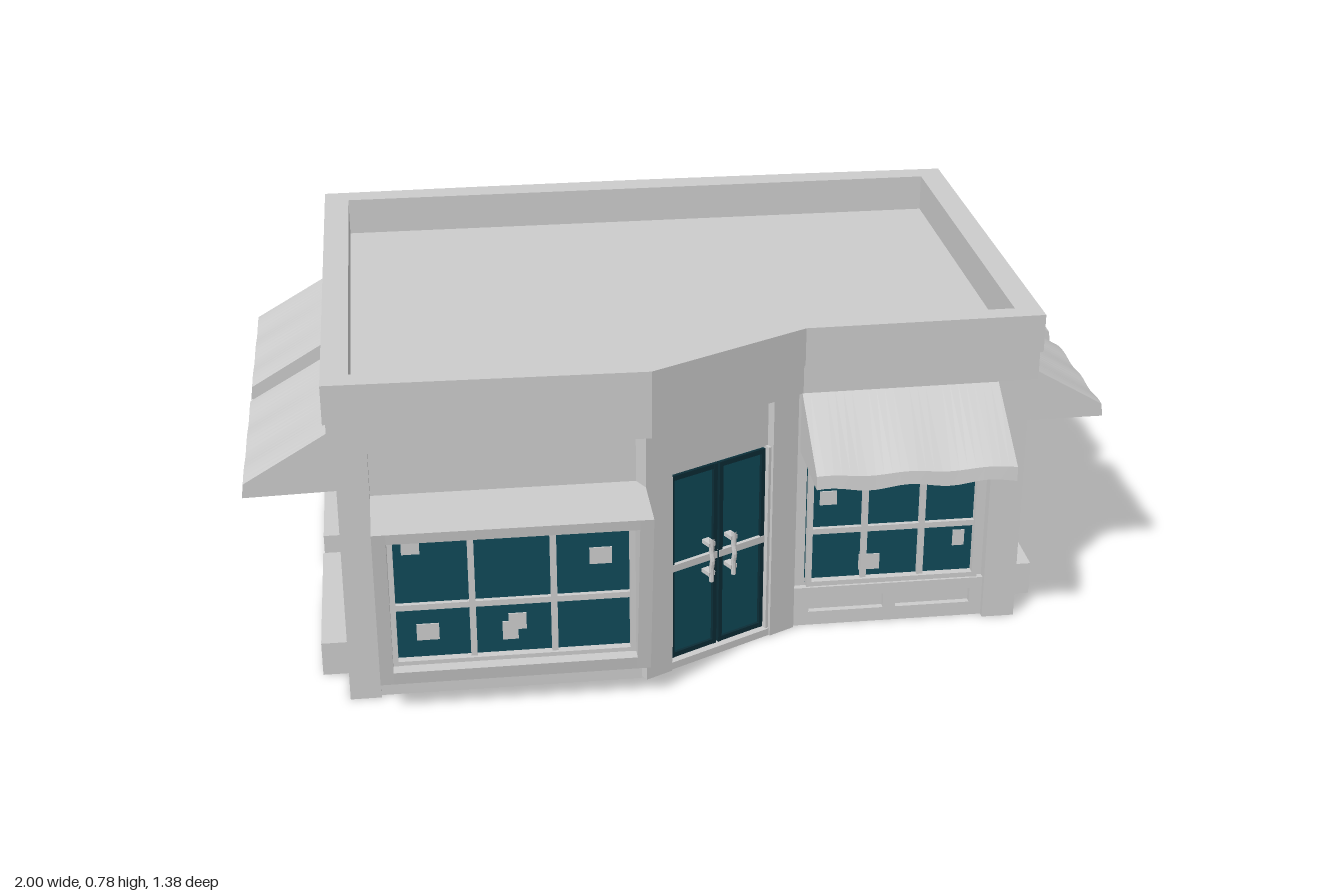
import * as THREE from 'three';

const grey = new THREE.MeshStandardMaterial({ color: 0xcccccc, flatShading: true });
const open = new THREE.MeshStandardMaterial({ color: 0xcccccc, flatShading: true, side: THREE.DoubleSide });
const teal = new THREE.MeshStandardMaterial({ color: 0x0f4958, flatShading: true });
const darkTeal = new THREE.MeshStandardMaterial({ color: 0x0b2c36, flatShading: true });

function add(parent, name, geo, mat = grey) {
  const m = new THREE.Mesh(geo, mat);
  m.name = name;
  parent.add(m);
  return m;
}

// Box given by its extents along each axis
function box(parent, name, x0, x1, y0, y1, z0, z1, mat) {
  const g = new THREE.BoxGeometry(x1 - x0, y1 - y0, z1 - z0);
  g.translate((x0 + x1) / 2, (y0 + y1) / 2, (z0 + z1) / 2);
  return add(parent, name, g, mat);
}

// Upright prism over a clockwise [x, z] outline, with an optional hole
function slab(parent, name, pts, y0, y1, hole) {
  const v = (p) => p.map(([x, z]) => new THREE.Vector2(x, -z));
  const s = new THREE.Shape(v(pts));
  if (hole) s.holes.push(new THREE.Path(v(hole).reverse()));
  const g = new THREE.ExtrudeGeometry(s, { depth: y1 - y0, bevelEnabled: false });
  g.rotateX(-Math.PI / 2).translate(0, y0, 0);
  return add(parent, name, g);
}

// Prism along x over a [z, y] profile
function sideProfile(parent, name, pts, x0, x1) {
  const s = new THREE.Shape(pts.map(([z, y]) => new THREE.Vector2(-z, y)));
  const g = new THREE.ExtrudeGeometry(s, { depth: x1 - x0, bevelEnabled: false });
  g.rotateY(Math.PI / 2).translate(x0, 0, 0);
  return add(parent, name, g);
}

// Group facing +z that is turned and placed
function place(parent, name, x, y, z, ry = 0) {
  const g = new THREE.Group();
  g.name = name;
  g.position.set(x, y, z);
  g.rotation.y = ry;
  parent.add(g);
  return g;
}

// Glass pane with a rim, bars and small notices [x, y, w, h]
function makeWindow(g, w, h, cols, rows, notices, rim) {
  const a = w / 2, b = h / 2, t = 0.012;
  box(g, 'glass', -a, a, -b, b, -0.01, 0, teal);
  for (const s of [-1, 1]) {
    box(g, 'rimSide', s * (a - t / 2) - t / 2, s * (a - t / 2) + t / 2, -b, b, -0.01, 0.02, rim);
    box(g, 'rimEdge', -a, a, s * (b - t / 2) - t / 2, s * (b - t / 2) + t / 2, -0.01, 0.019, rim);
  }
  for (let i = 1; i < cols; i++) box(g, 'bar', -a + i * w / cols - 0.007, -a + i * w / cols + 0.007, -b, b, 0, 0.012);
  for (let i = 1; i < rows; i++) box(g, 'crossBar', -a, a, -b + 0.4 * h - 0.007, -b + 0.4 * h + 0.007, 0, 0.011);
  for (const [x, y, nw, nh] of notices)
    box(g, 'notice', x - nw / 2, x + nw / 2, y - nh / 2, y + nh / 2, 0, 0.003);
}

// Cloth awning: sloped top, waving valance, flat soffit and closed ends
function makeAwning(g, w, depth) {
  const n = 24, pos = [], idx = [];
  for (let i = 0; i <= n; i++) {
    const u = i / n, x = (u - 0.5) * w;
    const wave = 0.005 * Math.sin(u * Math.PI * 5 + 0.6);
    pos.push(x, 0.62, 0, x, 0.497 + wave * 0.6, depth - 0.004, x, 0.465 + wave, depth, x, 0.467, 0);
    if (i < n) for (let k = 0; k < 3; k++) {
      const p = i * 4 + k;
      idx.push(p, p + 1, p + 4, p + 4, p + 1, p + 5);
    }
  }
  const e = n * 4;
  idx.push(0, 3, 1, 3, 2, 1, e, e + 1, e + 3, e + 3, e + 1, e + 2);
  const geo = new THREE.BufferGeometry();
  geo.setAttribute('position', new THREE.Float32BufferAttribute(pos, 3));
  geo.setIndex(idx);
  geo.computeVertexNormals();
  add(g, 'awningCloth', geo, open);
}

export function createModel() {
  const root = new THREE.Group();
  root.name = 'cornerShop';

  // Walls
  slab(root, 'walls', [[-0.755, -0.645], [0.755, -0.645], [0.755, 0.32], [0.23, 0.32], [-0.13, 0.5], [-0.755, 0.5]], 0, 0.62);

  // Corner and middle pillars
  const pillars = [
    [-0.79, -0.72, 0.42, 0.535], [0.71, 0.787, 0.25, 0.35],
    [-0.79, -0.72, -0.66, -0.55], [0.71, 0.79, -0.66, -0.57],
    [0.74, 0.787, -0.195, -0.115], [-0.787, -0.74, -0.11, -0.02],
  ];
  for (const [x0, x1, z0, z1] of pillars) box(root, 'pillar', x0, x1, 0, 0.625, z0, z1);

  // Cornice with the flat roof on top, and parapet ring
  const back = [[-0.81, -0.68], [-0.4, -0.687], [0, -0.69], [0.4, -0.687], [0.81, -0.68]];
  const outline = [...back, [0.81, 0.363], [0.26, 0.372], [-0.11, 0.567], [-0.81, 0.555]];
  slab(root, 'cornice', outline.map(([x, z]) => [x * 0.992, z * 0.988]), 0.62, 0.69);
  slab(root, 'parapet', outline, 0.69, 0.78,
    [[-0.75, -0.622], [0.75, -0.622], [0.75, 0.315], [0.24, 0.317], [-0.115, 0.5], [-0.75, 0.5]]);

  // Side windows with awnings and ledges: side, bay start and end, glass width
  const notices = [
    [[-0.07, 0.06, 0.055, 0.06], [0.08, -0.11, 0.055, 0.04]],
    [[0.025, 0, 0.04, 0.065], [-0.085, -0.1, 0.04, 0.06]],
  ];
  const bays = [
    [1, -0.115, 0.25, 0.3], [1, -0.57, -0.195, 0.31],
    [-1, -0.02, 0.42, 0.34], [-1, -0.55, -0.11, 0.34],
  ];
  bays.forEach(([s, z0, z1, w], i) => {
    const zc = (z0 + z1) / 2, ry = s * Math.PI / 2;
    makeWindow(place(root, 'sideWindow', s * 0.76, 0.2875, zc, ry), w, 0.345, 1, 1, notices[i % 2], darkTeal);
    makeAwning(place(root, 'sideAwning', s * 0.787, 0, zc, ry), z1 - z0, 0.213);
    box(place(root, 'windowLedge', s * 0.75, 0, zc, ry), 'ledge', -(z1 - z0) / 2, (z1 - z0) / 2, 0, 0.082, 0, 0.102);
  });

  // Sloping display window on the front
  for (const x of [-0.72, -0.15])
    sideProfile(root, 'displaySide', [[0.5, 0.08], [0.615, 0.08], [0.69, 0.49], [0.5, 0.49]], x, x + 0.03);
  sideProfile(root, 'displayTop', [[0.5, 0.465], [0.686, 0.465], [0.69, 0.49], [0.5, 0.49]], -0.69, -0.15);
  sideProfile(root, 'displaySill', [[0.5, 0.08], [0.615, 0.08], [0.621, 0.112], [0.5, 0.112]], -0.69, -0.15);
  box(root, 'displayBack', -0.69, -0.15, 0.11, 0.47, 0.5, 0.56);
  makeWindow(place(root, 'displayWindow', -0.42, 0.2875, 0.572), 0.54, 0.355, 3, 2, [
    [-0.22, 0.117, 0.04, 0.05], [0.195, 0.062, 0.05, 0.04], [-0.19, -0.103, 0.05, 0.04],
    [-0.008, -0.112, 0.035, 0.045], [0.008, -0.09, 0.04, 0.04],
  ], grey);
  box(root, 'frontPlinth', -0.72, -0.13, 0, 0.08, 0.5, 0.525);

  // Front window with awning
  makeWindow(place(root, 'frontWindow', 0.485, 0.2875, 0.332), 0.41, 0.35, 3, 2, [
    [-0.155, 0.047, 0.04, 0.035], [-0.053, -0.127, 0.05, 0.04], [0.16, -0.077, 0.028, 0.04],
  ], grey);
  makeAwning(place(root, 'frontAwning', 0.485, 0, 0.35), 0.455, 0.203);

  // Low wall under the front window with two sunken panels
  const low = new THREE.Shape([[0.25, 0], [0.71, 0], [0.71, 0.1], [0.25, 0.1]].map((p) => new THREE.Vector2(...p)));
  for (const x of [0.29, 0.5])
    low.holes.push(new THREE.Path([[x, 0.035], [x, 0.072], [x + 0.18, 0.072], [x + 0.18, 0.035]].map((p) => new THREE.Vector2(...p))));
  add(root, 'panelledLowWall', new THREE.ExtrudeGeometry(low, { depth: 0.015, bevelEnabled: false }).translate(0, 0, 0.32));

  // Angled entrance with double doors
  const entry = place(root, 'entrance', 0.065, 0, 0.435, 0.478);
  for (const s of [-1, 1]) {
    const c = s * 0.175;
    box(entry, 'doorPillar', c - 0.035, c + 0.035, 0, 0.625, -0.05, 0.004);
    box(entry, 'doorJamb', s * 0.137 - 0.004, s * 0.137 + 0.004, 0, 0.49, -0.04, -0.004);
    const leaf = place(entry, 'doorLeaf', s * 0.067, 0, -0.022);
    box(leaf, 'doorGlass', -0.064, 0.064, 0.02, 0.485, -0.01, 0, teal);
    for (const e of [-1, 1]) {
      box(leaf, 'doorStile', e * 0.059 - 0.005, e * 0.059 + 0.005, 0.02, 0.485, -0.01, 0.008, darkTeal);
      box(leaf, 'doorRail', -0.064, 0.064, 0.2525 + e * 0.2265 - 0.006, 0.2525 + e * 0.2265 + 0.006, -0.01, 0.007, darkTeal);
    }
    box(leaf, 'doorBar', -0.064, 0.064, 0.245, 0.262, 0, 0.01);
    const x = -s * 0.036;
    const path = new THREE.CatmullRomCurve3([[0.2, 0.026], [0.235, 0.026], [0.255, 0.03], [0.275, 0.026], [0.31, 0.026]]
      .map(([y, z]) => new THREE.Vector3(x, y, z)));
    add(leaf, 'doorHandle', new THREE.TubeGeometry(path, 12, 0.006, 8));
    for (const y of [0.22, 0.295]) box(leaf, 'handleMount', x - 0.009, x + 0.009, y - 0.005, y + 0.005, 0, 0.028);
  }
  box(entry, 'doorHeader', -0.14, 0.14, 0.488, 0.62, -0.05, -0.018);
  box(entry, 'doorStep', -0.14, 0.14, 0, 0.018, -0.04, 0);

  return root;
}
